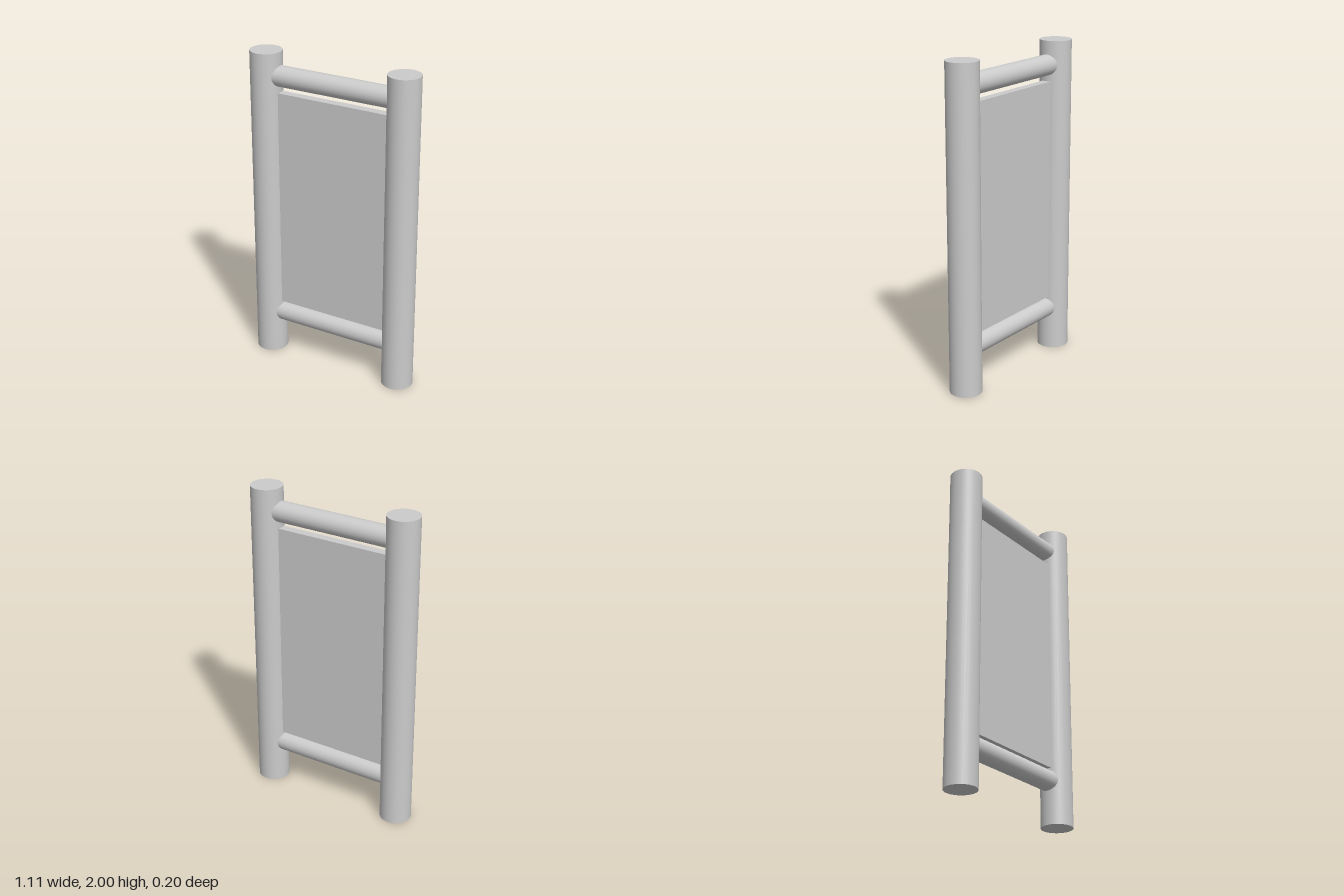
import * as THREE from 'three';

const POST_X = 0.458, POST_R = 0.0985, RAIL_R = 0.064;

export function createModel() {
  const model = new THREE.Group();
  model.name = 'panelFrame';
  const material = new THREE.MeshStandardMaterial({ color: 0xcccccc });

  const add = (name, geometry, x, y) => {
    const mesh = new THREE.Mesh(geometry, material);
    mesh.name = name;
    mesh.position.set(x, y, 0);
    model.add(mesh);
  };

  // Two upright round posts
  const post = new THREE.CylinderGeometry(POST_R, POST_R, 2, 32);
  add('leftPost', post, POST_X, 1);
  add('rightPost', post, -POST_X, 1);

  // Round rails running into the posts
  const rail = new THREE.CylinderGeometry(RAIL_R, RAIL_R, POST_X * 2, 32).rotateZ(Math.PI / 2);
  add('topRail', rail, 0, 1.853);
  add('bottomRail', rail, 0, 0.275);

  // Thin flat panel between the rails, its sides let into the posts
  add('panel', new THREE.BoxGeometry(0.76, 1.402, 0.056), 0, 1.052);

  return model;
}
